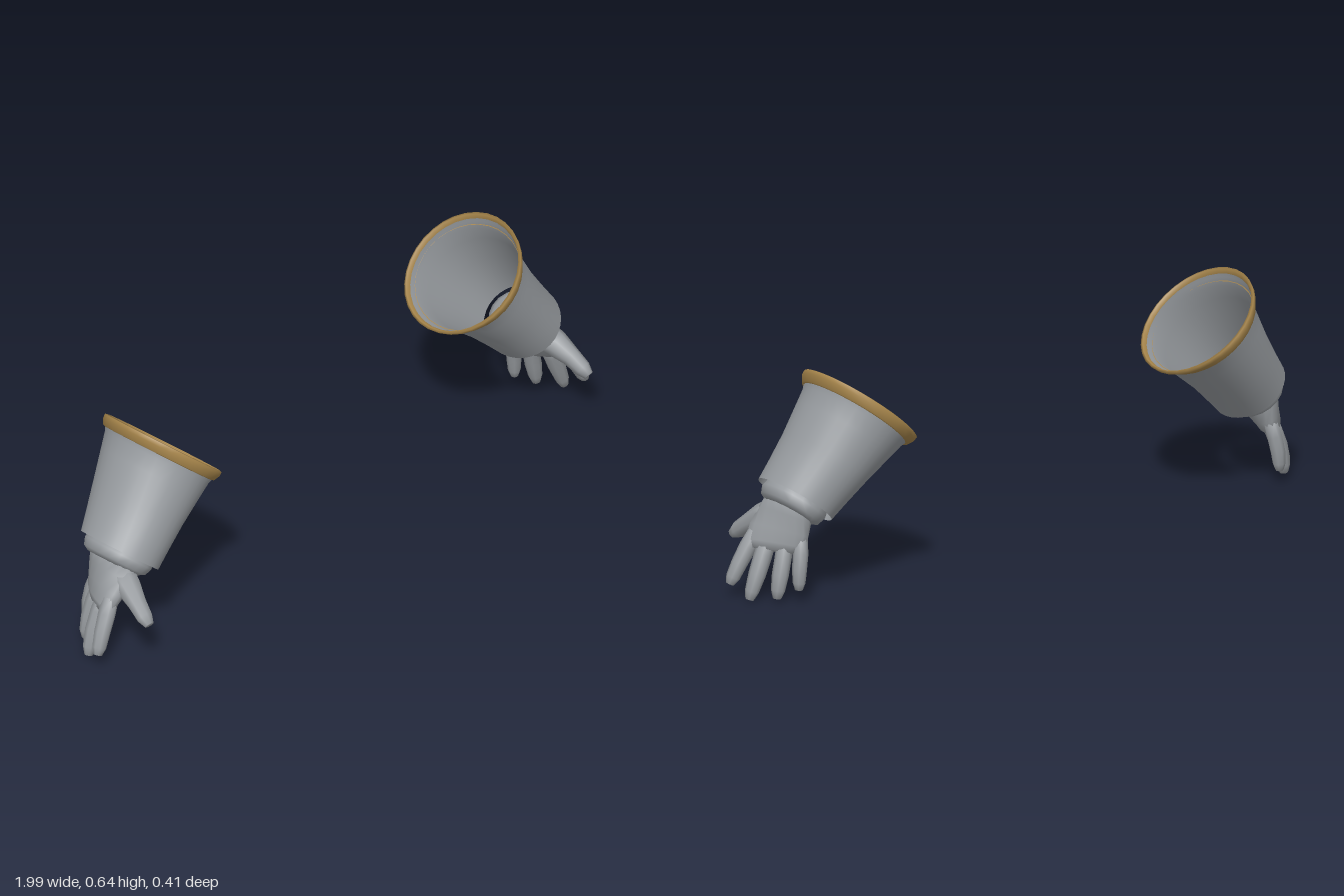
import * as THREE from 'three';

const V = (x, y, z) => new THREE.Vector3(x, y, z);
const AXIS = V(0.65, -0.76, 0).normalize();  // forearm direction, elbow to hand
const UP = V(0.76, 0.65, 0).normalize();     // across the forearm, back-of-hand side

// Skin a list of elliptical rings {c, u, v}; u x v points along the loft
function loft(rings, sides, capped) {
  const pos = [], index = [];
  for (const { c, u, v } of rings) {
    for (let j = 0; j < sides; j++) {
      const t = (j / sides) * Math.PI * 2;
      const p = c.clone().addScaledVector(u, Math.cos(t)).addScaledVector(v, Math.sin(t));
      pos.push(p.x, p.y, p.z);
    }
  }
  for (let i = 0; i < rings.length - 1; i++) {
    for (let j = 0; j < sides; j++) {
      const k = (j + 1) % sides;
      const a = i * sides + j, b = i * sides + k;
      index.push(a, b, a + sides, b, b + sides, a + sides);
    }
  }
  if (capped) {
    const n = rings.length * sides, last = n - sides;
    for (const ring of [rings[0], rings[rings.length - 1]]) pos.push(ring.c.x, ring.c.y, ring.c.z);
    for (let j = 0; j < sides; j++) {
      const k = (j + 1) % sides;
      index.push(n, k, j, n + 1, last + j, last + k);
    }
  }
  const g = new THREE.BufferGeometry();
  g.setAttribute('position', new THREE.Float32BufferAttribute(pos, 3));
  g.setIndex(index);
  g.computeVertexNormals();
  return g;
}

// Mirror a geometry in x, keeping its faces outward
function mirrored(geometry) {
  const g = geometry.clone();
  const p = g.attributes.position;
  for (let i = 0; i < p.count; i++) p.setX(i, -p.getX(i));
  const idx = g.index.array;
  for (let i = 0; i < idx.length; i += 3) [idx[i], idx[i + 1]] = [idx[i + 1], idx[i]];
  g.computeVertexNormals();
  return g;
}

// Ring on the forearm: distance along it, radius across, front and back z
const cuffRing = ([a, r, zFront, zBack]) => ({
  c: V(0.604, 0.521, (zFront + zBack) / 2).addScaledVector(AXIS, a),
  u: UP.clone().multiplyScalar(r),
  v: V(0, 0, (zFront - zBack) / 2),
});

// Ring on the hand: centre, half width vector, half thickness
function handRing([x, y, z], [wx, wy, wz], thick, dir) {
  const v = V(wx, wy, wz);
  return { c: V(x, y, z), u: v.clone().cross(dir).normalize().multiplyScalar(thick), v };
}

// Tapering digit through [x, y, z, radius] points
function digit(points) {
  const rings = points.map(([x, y, z, r], i) => {
    const p = points[Math.max(i - 1, 0)], q = points[Math.min(i + 1, points.length - 1)];
    const dir = V(q[0] - p[0], q[1] - p[1], q[2] - p[2]).normalize();
    const u = UP.clone().addScaledVector(dir, -UP.dot(dir)).normalize();
    const v = dir.clone().cross(u);
    return { c: V(x, y, z), u: u.multiplyScalar(r), v: v.multiplyScalar(r) };
  });
  return loft(rings, 8, true);
}

export function createModel() {
  const grey = new THREE.MeshStandardMaterial({ color: 0x969a9e, side: THREE.DoubleSide });
  grey.name = 'steel grey';
  const gold = new THREE.MeshStandardMaterial({ color: 0xa5844a, side: THREE.DoubleSide });
  gold.name = 'dull gold';

  const parts = [];
  const add = (name, geometry, material = grey) => parts.push({ name, geometry, material });

  // Flared open cuff
  add('cuff', loft([
    [0.002, 0.177, 0.149, -0.198], [0.022, 0.166, 0.147, -0.195], [0.045, 0.152, 0.144, -0.189],
    [0.09, 0.143, 0.141, -0.178], [0.18, 0.124, 0.137, -0.157], [0.26, 0.114, 0.135, -0.136],
    [0.322, 0.108, 0.134, -0.12],
  ].map(cuffRing), 32, false));

  // Rim band around the wide opening
  add('cuffRim', loft([
    [0.012, 0.171, 0.146, -0.193], [-0.002, 0.178, 0.15, -0.199], [0.0, 0.185, 0.157, -0.205],
    [0.012, 0.182, 0.158, -0.206], [0.03, 0.167, 0.152, -0.2], [0.032, 0.158, 0.146, -0.192],
  ].map(cuffRing), 32, false), gold);

  // Rolled wrist with a domed top
  add('wristRoll', loft([
    [0.27, 0.03, 0.05, -0.03], [0.285, 0.07, 0.09, -0.075], [0.305, 0.084, 0.112, -0.098],
    [0.33, 0.09, 0.118, -0.104], [0.352, 0.083, 0.108, -0.096], [0.362, 0.062, 0.09, -0.08],
  ].map(cuffRing), 20, true));

  // Palm, twisting so the back of the hand turns outward and back
  const palmDir = V(0.5, -0.86, 0).normalize();
  add('palm', loft([
    handRing([0.832, 0.27, 0.008], [0.0, 0.0, 0.085], 0.055, palmDir),
    handRing([0.848, 0.235, 0.01], [0.018, 0.005, 0.086], 0.052, palmDir),
    handRing([0.868, 0.195, 0.01], [0.036, 0.008, 0.084], 0.043, palmDir),
    handRing([0.886, 0.16, 0.007], [0.046, 0.004, 0.078], 0.034, palmDir),
    handRing([0.895, 0.142, 0.005], [0.038, 0.003, 0.062], 0.022, palmDir),
  ], 16, true));

  // Four fingers and the thumb
  add('indexFinger', digit([
    [0.908, 0.185, 0.062, 0.024], [0.932, 0.145, 0.07, 0.025], [0.957, 0.1, 0.077, 0.023],
    [0.975, 0.062, 0.083, 0.02], [0.984, 0.043, 0.086, 0.012]]));
  add('middleFinger', digit([
    [0.893, 0.175, 0.026, 0.024], [0.913, 0.13, 0.025, 0.026], [0.935, 0.078, 0.024, 0.025],
    [0.953, 0.03, 0.026, 0.02], [0.96, 0.007, 0.028, 0.012]]));
  add('ringFinger', digit([
    [0.868, 0.175, -0.018, 0.022], [0.882, 0.13, -0.026, 0.024], [0.896, 0.08, -0.03, 0.024],
    [0.906, 0.038, -0.032, 0.02], [0.909, 0.015, -0.031, 0.012]]));
  add('littleFinger', digit([
    [0.842, 0.18, -0.054, 0.02], [0.85, 0.14, -0.063, 0.022], [0.858, 0.096, -0.068, 0.021],
    [0.861, 0.06, -0.07, 0.018], [0.862, 0.04, -0.07, 0.011]]));
  add('thumb', digit([
    [0.85, 0.24, 0.04, 0.044], [0.864, 0.215, 0.09, 0.038], [0.876, 0.187, 0.135, 0.028],
    [0.884, 0.16, 0.172, 0.024], [0.887, 0.145, 0.193, 0.014]]));

  // A pair of gloves
  const model = new THREE.Group();
  model.name = 'gauntlets';
  for (const side of ['left', 'right']) {
    const glove = new THREE.Group();
    glove.name = side + 'Gauntlet';
    for (const { name, geometry, material } of parts) {
      const mesh = new THREE.Mesh(side === 'left' ? geometry : mirrored(geometry), material);
      mesh.name = name;
      glove.add(mesh);
    }
    model.add(glove);
  }
  return model;
}
